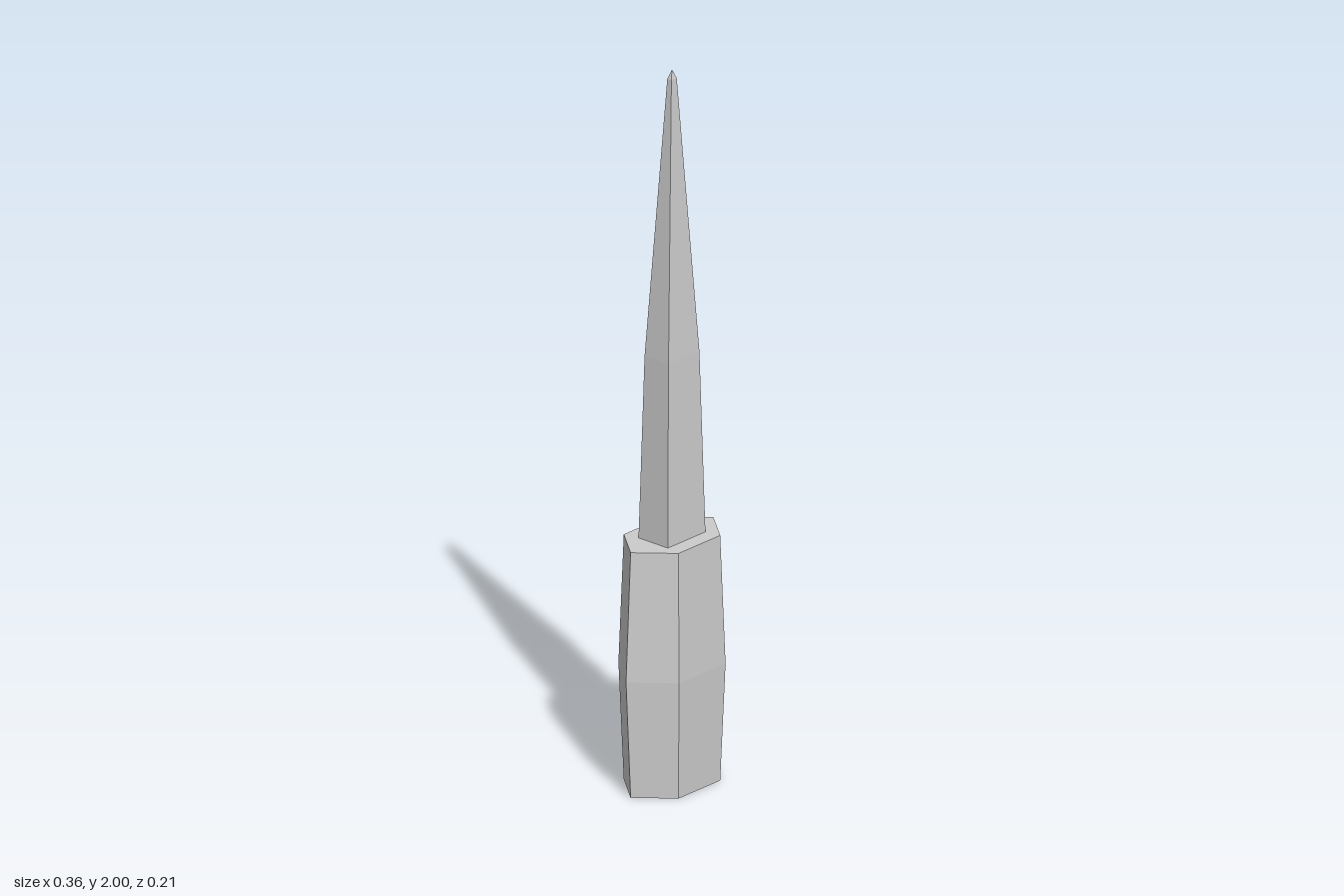
import * as THREE from 'three';

// Flat-faced solid lofted through scaled copies of one outline.
// outline: [x, z] corners, counter-clockwise seen from above; levels: [y, scale].
function loft(outline, levels, capped) {
  const positions = [];
  const count = outline.length;
  const corner = ([y, s], i) => {
    const [x, z] = outline[i % count];
    return [x * s, y, z * s];
  };
  const triangle = (a, b, c) => positions.push(...a, ...b, ...c);

  for (let l = 0; l < levels.length - 1; l++) {
    const low = levels[l], high = levels[l + 1];
    for (let i = 0; i < count; i++) {
      triangle(corner(low, i), corner(low, i + 1), corner(high, i + 1));
      if (high[1] > 0) triangle(corner(low, i), corner(high, i + 1), corner(high, i));
    }
  }
  if (capped) {
    const bottom = levels[0], top = levels[levels.length - 1];
    for (let i = 1; i < count - 1; i++) {
      triangle(corner(bottom, 0), corner(bottom, i + 1), corner(bottom, i));
      triangle(corner(top, 0), corner(top, i), corner(top, i + 1));
    }
  }
  const geometry = new THREE.BufferGeometry();
  geometry.setAttribute('position', new THREE.Float32BufferAttribute(positions, 3));
  geometry.computeVertexNormals();
  return geometry;
}

export function createModel() {
  const group = new THREE.Group();
  group.name = 'spike';
  const grey = new THREE.MeshStandardMaterial({ color: 0xcccccc, flatShading: true });
  grey.name = 'light grey';

  // Six-sided handle, widest at mid height
  const hexagon = [
    [0.178, 0], [0.09, -0.106], [-0.09, -0.106],
    [-0.178, 0], [-0.09, 0.106], [0.09, 0.106],
  ];
  const handle = new THREE.Mesh(loft(hexagon, [[0, 0.9], [0.33, 1], [0.69, 0.9]], true), grey);
  handle.name = 'handle';

  // Four-sided blade, tapering faster above the lower section
  const rectangle = [[0.073, 0.051], [0.073, -0.051], [-0.073, -0.051], [-0.073, 0.051]];
  const blade = new THREE.Mesh(
    loft(rectangle, [[0.69, 1], [1.2, 0.82], [1.975, 0.14], [2, 0]], false), grey);
  blade.name = 'blade';

  group.add(handle, blade);
  return group;
}
